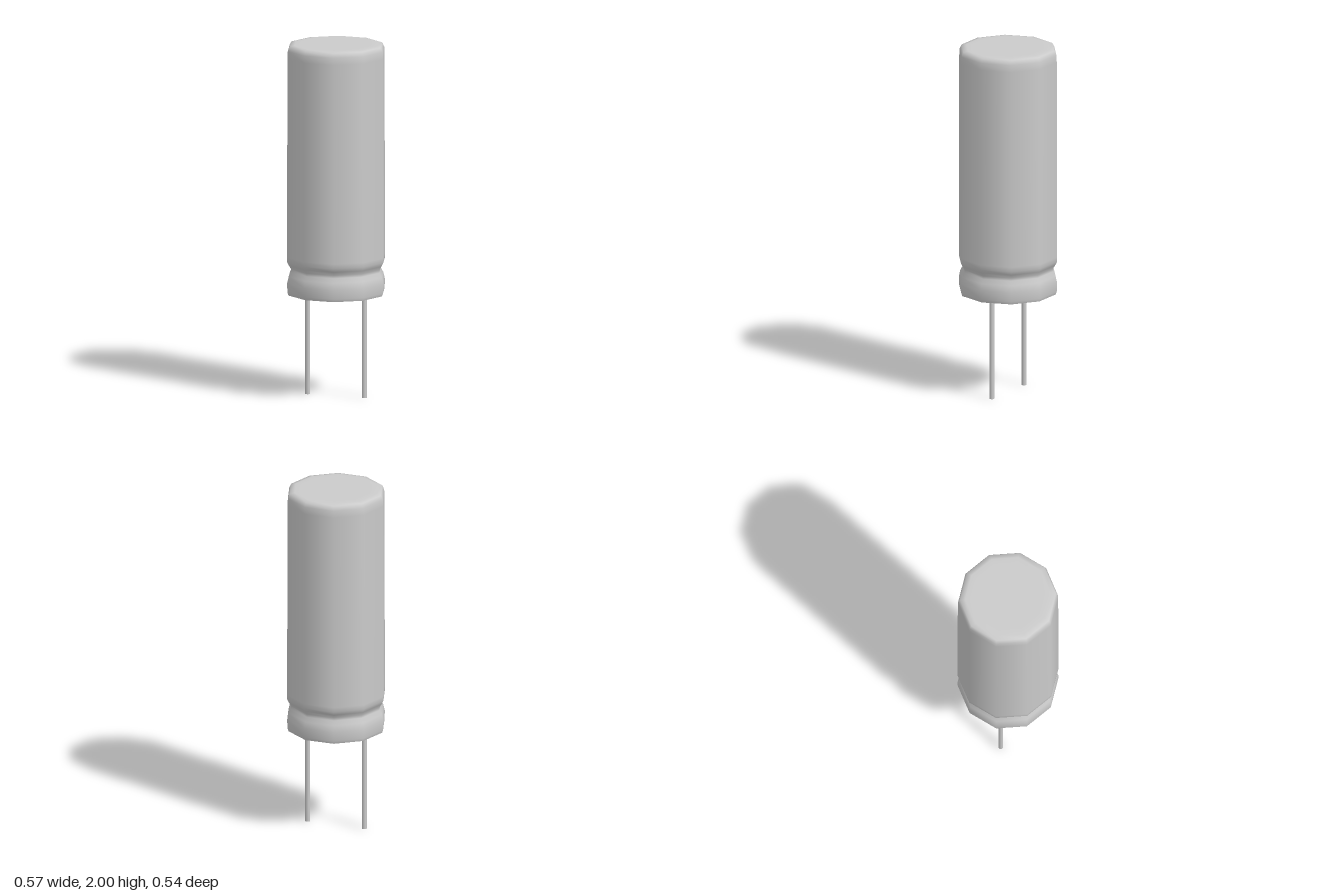
import * as THREE from 'three';

const SIDES = 10;
const material = new THREE.MeshStandardMaterial({ color: 0xcccccc });

function addMesh(parent, name, geometry) {
  const mesh = new THREE.Mesh(geometry, material);
  mesh.name = name;
  parent.add(mesh);
  return mesh;
}

// Ten-sided turned surface with a corner on the x axis
function turned(profile) {
  const points = profile.map(([r, y]) => new THREE.Vector2(r, y));
  return new THREE.LatheGeometry(points, SIDES, Math.PI / 2);
}

export function createModel() {
  const group = new THREE.Group();
  group.name = 'capacitor';

  // Can: rolled base rim, crimped groove, long wall, softened top edge, flat top
  addMesh(group, 'can', turned([
    [0.275, 0.583], [0.281, 0.60], [0.283, 0.652], [0.274, 0.69],
    [0.26, 0.715], [0.26, 0.732], [0.272, 0.752], [0.283, 0.774],
    [0.283, 0.80], [0.281, 1.93], [0.279, 1.97], [0.268, 1.995],
    [0.24, 2], [0.2, 2], [0, 2],
  ]));

  // Flat underside, kept separate for a sharp edge
  addMesh(group, 'bottomSeal', turned([[0, 0.583], [0.275, 0.583]]));

  // Pair of wire leads
  for (const [name, side] of [['leftLead', 1], ['rightLead', -1]]) {
    const lead = addMesh(group, name, new THREE.CylinderGeometry(0.014, 0.014, 0.6, 10));
    lead.position.set(side * 0.169, 0.3, 0);
  }

  return group;
}
